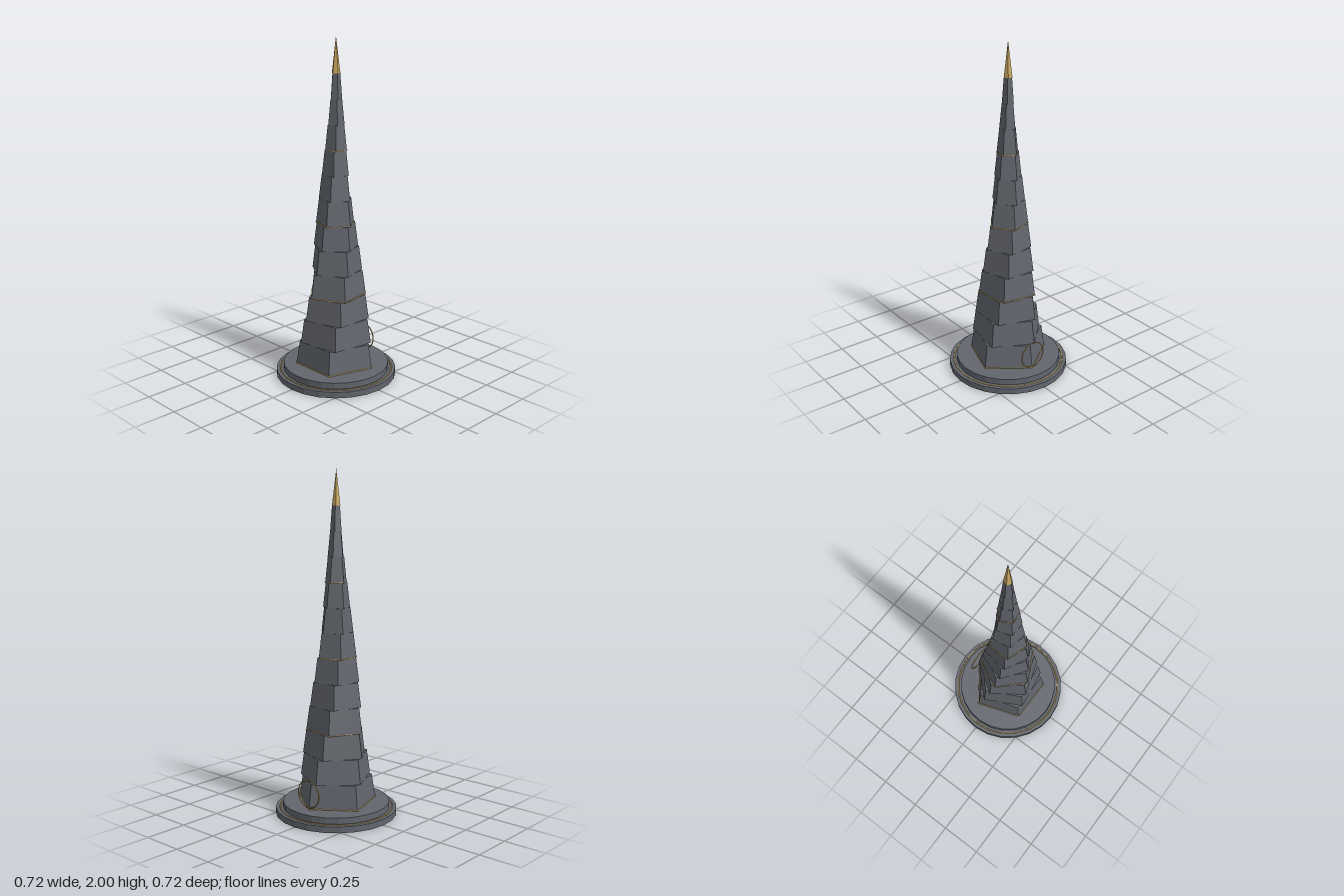
import * as THREE from 'three';

const stone = new THREE.MeshStandardMaterial({ color: 0x62666d, flatShading: true });
stone.name = 'slate stone';
const gold = new THREE.MeshStandardMaterial({ color: 0xc9a961, flatShading: true });
gold.name = 'gold';

const LAYERS = 12, BASE_TOP = 0.072, STEP = 0.1437, TWIST = 0.16;

// Radius of the spire at the bottom of layer i
const radiusAt = (i) => 0.024 + 0.214 * Math.pow(1 - i / LAYERS, 1.2);

function add(parent, name, geometry, material, y = 0, turn = 0) {
  const mesh = new THREE.Mesh(geometry, material);
  mesh.name = name;
  mesh.position.y = y;
  mesh.rotation.y = turn;
  parent.add(mesh);
  return mesh;
}

// Frustum standing on its local y = 0, one corner pointing to -z
function frustum(top, bottom, height, sides) {
  return new THREE.CylinderGeometry(top, bottom, height, sides)
    .translate(0, height / 2, 0)
    .rotateY(Math.PI);
}

// Horizontal ring with one corner pointing to -z
function hoop(radius, tube, sides) {
  return new THREE.TorusGeometry(radius, tube, 6, sides)
    .rotateZ(-Math.PI / 2)
    .rotateX(Math.PI / 2);
}

export function createModel() {
  const model = new THREE.Group();
  model.name = 'twistedSpire';

  // Stepped round base with a gold inlay ring
  add(model, 'lowerBase', frustum(0.358, 0.358, 0.036, 24), stone);
  add(model, 'upperBase', frustum(0.315, 0.315, 0.036, 24), stone, 0.036);
  add(model, 'baseRing', hoop(0.334, 0.004, 24), gold, 0.037);

  // Pentagonal layers, each turned a little further than the one below
  const spire = new THREE.Group();
  spire.name = 'spire';
  model.add(spire);
  for (let i = 0; i < LAYERS; i++) {
    const y = BASE_TOP + i * STEP, r = radiusAt(i);
    add(spire, 'spireLayer', frustum(radiusAt(i + 1), r, STEP, 5), stone, y, i * TWIST);
    if (i % 3 === 0) {
      add(spire, 'goldBand', hoop(r + 0.001, 0.003, 5), gold, y + (i ? 0 : 0.003), i * TWIST);
    }
  }

  // Gold point
  const tipY = BASE_TOP + LAYERS * STEP;
  add(model, 'tip', frustum(0, 0.025, 2 - tipY, 5), gold, tipY, LAYERS * TWIST);

  // Upright gold ring at the back
  const ring = add(model, 'backRing', new THREE.TorusGeometry(0.08, 0.0035, 8, 32), gold, 0.165);
  ring.position.z = -0.24;

  return model;
}
